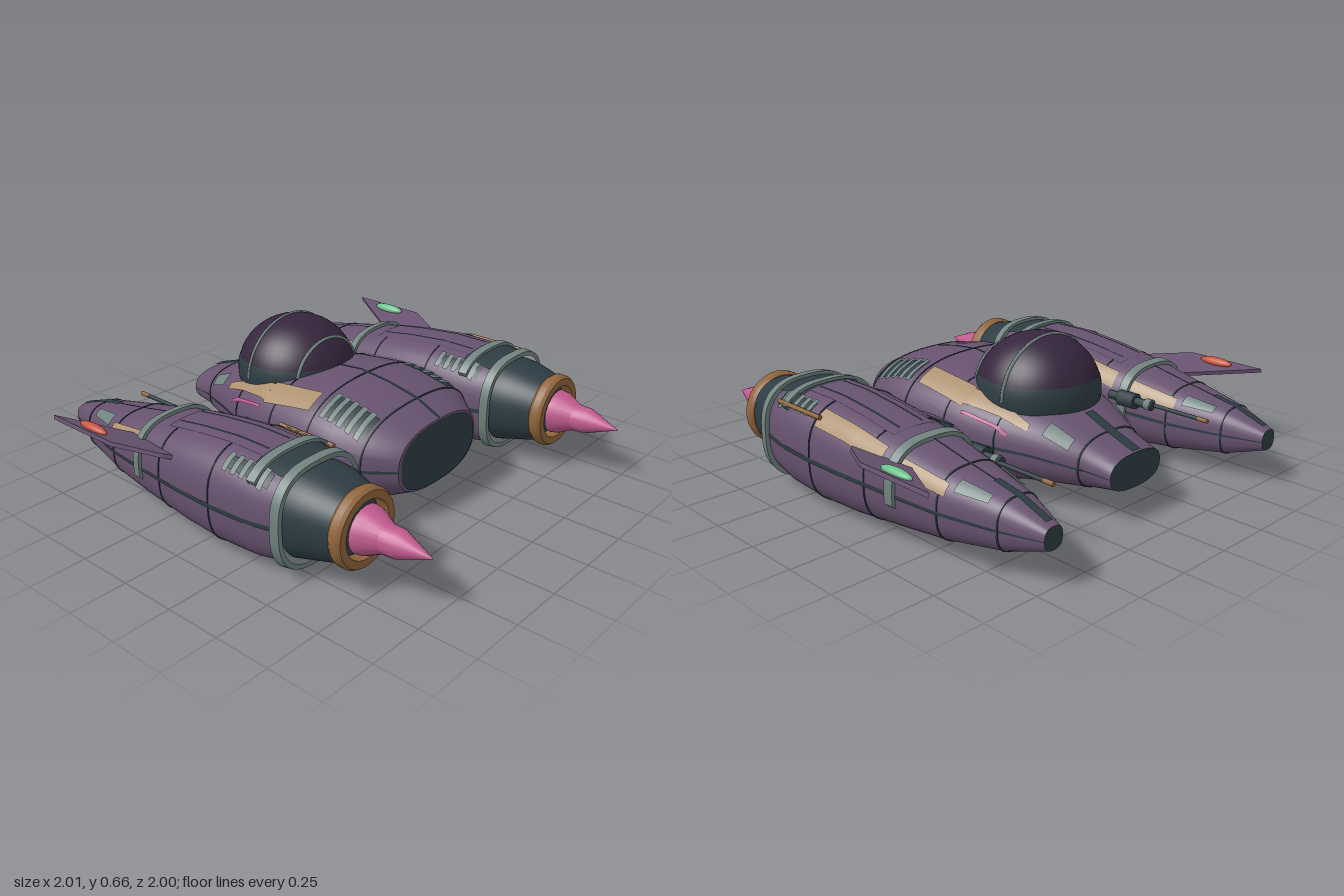
import * as THREE from 'three';
import { toCreasedNormals } from 'three/addons/utils/BufferGeometryUtils.js';

const paint = (name, color) => Object.assign(new THREE.MeshStandardMaterial({ color }), { name });
const M = {
  purple: paint('hull purple', 0x67526f), dark: paint('dark slate', 0x2d3c43),
  tan: paint('tan panel', 0xac906f), grey: paint('grey green', 0x70827f),
  glass: paint('dark glass', 0x35253d), pink: paint('pink flare', 0xc05a8e),
  bronze: paint('bronze', 0x8f653b), red: paint('red lamp', 0xc65440), green: paint('green lamp', 0x6cc08c),
};

function add(parent, name, geo, mat, x = 0, y = 0, z = 0) {
  const m = new THREE.Mesh(geo, mat);
  m.name = name;
  m.position.set(x, y, z);
  parent.add(m);
  return m;
}

// Surface from f(i, j) -> [x, y, z] over rows i and columns j
function grid(rows, cols, f, crease = 0.5) {
  const pos = [], idx = [];
  for (let i = 0; i <= rows; i++) for (let j = 0; j <= cols; j++) {
    pos.push(...f(i, j));
    if (i < rows && j < cols) {
      const a = i * (cols + 1) + j, b = a + cols + 1;
      idx.push(a, b, a + 1, b, b + 1, a + 1);
    }
  }
  const g = new THREE.BufferGeometry();
  g.setAttribute('position', new THREE.Float32BufferAttribute(pos, 3));
  g.setIndex(idx);
  return toCreasedNormals(g, crease);
}

// Body lofted from stations [z, half width, bottom, top] with rounded-box sections
function hull(st, n) {
  const lerp = THREE.MathUtils.lerp;
  const at = z => {
    let k = 0;
    while (k < st.length - 2 && z > st[k + 1][0]) k++;
    const t = (z - st[k][0]) / (st[k + 1][0] - st[k][0]);
    return [1, 2, 3].map(c => lerp(st[k][c], st[k + 1][c], t));
  };
  const pow = v => Math.sign(v) * Math.abs(v) ** (2 / n);
  const point = (z, t, off = 0, r = 1) => {
    const [w, lo, hi] = at(z);
    return [r * (w + off) * pow(Math.sin(t)), (lo + hi) / 2 + r * ((hi - lo) / 2 + off) * pow(Math.cos(t)), z];
  };
  const angle = (z, x) => Math.asin(Math.sign(x) * Math.min(1, Math.abs(x) / at(z)[0]) ** (n / 2));
  const Z0 = st[0][0], Z1 = st[st.length - 1][0], full = 2 * Math.PI;
  return {
    skin: () => grid(st.length - 1, 48, (i, j) => point(st[i][0], j / 48 * full)),
    tail: () => grid(1, 48, (i, j) => point(Z0, j / 48 * full, 0, i)),
    nose: (r = 1, dz = 0) => grid(1, 48, (i, j) => {
      const p = point(Z1, j / 48 * full, 0, (1 - i) * r);
      return [p[0], p[1], Z1 + dz];
    }),
    // thin plate on the upper side, x range given at both ends
    plate: (z0, z1, a, b = a, off = 0.005) => grid(12, 6, (i, j) => {
      const z = lerp(z0, z1, i / 12);
      const t0 = angle(z, lerp(a[0], b[0], i / 12)), t1 = angle(z, lerp(a[1], b[1], i / 12));
      return point(z, lerp(t0, t1, j / 6), off);
    }),
    // band wrapped round the section between two angles
    strap: (z0, z1, t0, t1, off) => grid(3, 48, (i, j) => {
      const end = t1 - t0 < 6.2 && (j === 0 || j === 48);
      return point(i < 2 ? z0 : z1, lerp(t0, t1, j / 48), end || i % 3 === 0 ? 0 : off);
    }),
    // lengthwise seam at an angle
    seam: (t, z0 = Z0, z1 = Z1) => grid(24, 1, (i, j) => point(lerp(z0, z1, i / 24), t + (j - 0.5) * 0.03, 0.003)),
  };
}

const both = (s, a, b) => s > 0 ? [a, b] : [-b, -a];

function vents(parent, h, s, x0, x1, z0, z1) {
  add(parent, 'ventBed', h.plate(z0, z1, both(s, x0 + 0.01, x1 - 0.01), undefined, 0.004), M.dark);
  const step = (z1 - z0) / 5;
  for (let i = 0; i < 5; i++)
    add(parent, 'ventSlat', h.plate(z0 + i * step, z0 + (i + 0.55) * step, both(s, x0, x1), undefined, 0.01), M.grey);
}

const lathe = (pts, seg) => toCreasedNormals(
  new THREE.LatheGeometry(pts.map(p => new THREE.Vector2(...p)), seg).rotateX(Math.PI / 2), 0.5);

function makeBody() {
  const g = new THREE.Group();
  g.name = 'body';
  const h = hull([[-0.82, 0.155, 0.125, 0.275], [-0.69, 0.18, 0.105, 0.32], [-0.67, 0.195, 0.1, 0.33],
    [-0.5, 0.27, 0.08, 0.4], [-0.35, 0.33, 0.055, 0.44], [-0.2, 0.37, 0.04, 0.47], [0.1, 0.4, 0.03, 0.5],
    [0.25, 0.395, 0.03, 0.485], [0.4, 0.365, 0.055, 0.455], [0.52, 0.265, 0.105, 0.4]], 2.5);
  add(g, 'bodyShell', h.skin(), M.purple);
  add(g, 'tailPlate', h.tail(), M.dark);
  add(g, 'noseRim', h.nose(), M.purple);
  add(g, 'nosePlate', h.nose(0.95, 0.004), M.dark);
  add(g, 'spineStrip', h.plate(-0.82, -0.57, [-0.024, 0.024], undefined, 0.008), M.dark);
  for (const z of [-0.68, -0.35, -0.1, 0.13, 0.4])
    add(g, 'crossSeam', h.strap(z - 0.003, z + 0.003, 0, 2 * Math.PI, 0.003), M.dark);
  add(g, 'topSeam', h.plate(-0.05, 0.52, [-0.007, 0.007]), M.dark);
  for (const t of [Math.PI / 2, Math.PI, -Math.PI / 2]) add(g, 'longSeam', h.seam(t), M.dark);
  for (const s of [1, -1]) {
    add(g, 'tanPanel', h.plate(-0.47, -0.17, both(s, 0.235, 0.258), both(s, 0.25, 0.325)), M.tan);
    add(g, 'tanPanel', h.plate(-0.17, 0.1, both(s, 0.24, 0.333)), M.tan);
    add(g, 'pinkStripe', h.plate(-0.4, -0.18, both(s, 0.298, 0.305), both(s, 0.342, 0.35)), M.pink);
    add(g, 'tailWindow', h.plate(-0.64, -0.53, both(s, 0.155, 0.195), both(s, 0.175, 0.23), 0.007), M.grey);
    vents(g, h, s, 0.21, 0.335, 0.16, 0.39);
    // pylon to the pod
    const pylon = new THREE.CylinderGeometry(0.045, 0.045, 0.16, 20).rotateZ(Math.PI / 2).scale(1, 1, 5.4);
    add(g, 'pylon', pylon, M.purple, s * 0.41, 0.28, 0.04);
    add(g, 'pylonTrim', new THREE.BoxGeometry(0.012, 0.1, 0.48), M.dark, s * 0.415, 0.28, 0.04);
    add(g, 'pylonTanPlate', new THREE.BoxGeometry(0.03, 0.008, 0.06), M.tan, s * 0.41, 0.322, 0.2);
  }
  // canopy
  const c = new THREE.Group();
  c.name = 'canopy';
  c.position.set(0, 0.42, -0.285);
  c.scale.y = 0.9;
  add(c, 'canopyGlass', new THREE.SphereGeometry(0.265, 40, 16, 0, 2 * Math.PI, 0, 1.3), M.glass);
  add(c, 'canopyCollar', new THREE.SphereGeometry(0.267, 40, 8, 0, 2 * Math.PI, 1.28, 0.65), M.dark);
  for (const [r, z] of [[0.261, -0.045], [0.194, 0.182]])
    add(c, 'canopyArch', new THREE.TorusGeometry(r, 0.008, 6, 36, Math.PI), M.grey, 0, 0, z);
  g.add(c);
  return g;
}

function makePod(s) {
  const g = new THREE.Group();
  g.name = s > 0 ? 'leftPod' : 'rightPod';
  g.position.x = s * 0.67;
  const h = hull([[-1, 0.046, 0.15, 0.24], [-0.83, 0.105, 0.095, 0.3], [-0.58, 0.165, 0.055, 0.345],
    [-0.36, 0.2, 0.035, 0.39], [-0.1, 0.228, 0.012, 0.43], [0.1, 0.24, 0.005, 0.45],
    [0.3, 0.235, 0.015, 0.45], [0.46, 0.208, 0.04, 0.44]], 2.7);
  add(g, 'podShell', h.skin(), M.purple);
  add(g, 'podTailPlate', h.tail(), M.dark);
  add(g, 'podTailStrip', h.plate(-0.98, -0.72, [-0.015, 0.015], undefined, 0.008), M.dark);
  for (const z of [-0.83, -0.58, -0.22, 0.1])
    add(g, 'crossSeam', h.strap(z - 0.003, z + 0.003, 0, 2 * Math.PI, 0.003), M.dark);
  for (const t of [Math.PI / 2, Math.PI, -Math.PI / 2]) add(g, 'longSeam', h.seam(t), M.dark);
  add(g, 'topSeam', h.plate(-0.72, -0.38, [-0.004, 0.004]), M.dark);
  // raised top panel and straps
  add(g, 'topPanelBed', h.plate(-0.27, 0.28, [-0.1, 0.1], undefined, 0.004), M.purple);
  for (const x of [-0.06, 0.05]) add(g, 'topGroove', h.plate(-0.25, 0.26, [x, x + 0.01], undefined, 0.007), M.dark);
  add(g, 'darkCollar', h.plate(0.27, 0.43, [-0.14, 0.14], undefined, 0.006), M.dark);
  add(g, 'rearStrap', h.strap(-0.385, -0.345, -1.75, 1.75, 0.016), M.grey);
  add(g, 'midStrap', h.strap(0.29, 0.33, -0.95, 0.95, 0.018), M.grey);
  add(g, 'frontRing', h.strap(0.425, 0.465, 0, 2 * Math.PI, 0.02), M.grey);
  // painted panels
  for (const e of [1, -1]) {
    add(g, 'podWindow', h.plate(-0.78, -0.64, both(e, 0.065, 0.095), both(e, 0.085, 0.13), 0.007), M.grey);
    add(g, 'tanRearPanel', h.plate(-0.61, -0.39, both(e, 0.12, 0.15), both(e, 0.145, 0.185)), M.tan);
    vents(g, h, e, 0.135, 0.2, 0.15, 0.38);
  }
  add(g, 'tanSidePanel', h.plate(-0.3, 0.09, [0.145, 0.195], [0.15, 0.212]), M.tan);
  add(g, 'bronzeRod', new THREE.CylinderGeometry(0.01, 0.01, 0.29, 8).rotateX(Math.PI / 2), M.bronze, 0.197, 0.402, 0.215);
  // engine
  const engine = hull([[0.45, 0.2, 0.05, 0.435], [0.52, 0.19, 0.07, 0.43], [0.645, 0.15, 0.1, 0.4]], 2.2);
  add(g, 'engineShell', engine.skin(), M.dark);
  add(g, 'engineFace', engine.nose(), M.dark);
  const ring = [[0.122, 0.64], [0.155, 0.64], [0.165, 0.655], [0.165, 0.685], [0.155, 0.7], [0.122, 0.7], [0.122, 0.64]];
  add(g, 'engineRing', lathe(ring, 32), M.bronze, 0, 0.25, 0).material.side = THREE.DoubleSide;
  const flare = [[0, 0.65], [0.1, 0.69], [0.095, 0.72], [0.06, 0.79], [0.057, 0.85], [0, 0.997]];
  add(g, 'engineFlare', lathe(flare, 20), M.pink, 0, 0.25, 0).material.side = THREE.DoubleSide;
  // outer fin with lamp
  const fin = new THREE.Group();
  fin.name = 'fin';
  fin.position.set(s * 0.2, 0.345, 0);
  fin.rotation.z = s * 0.27;
  const outline = [[-0.08, -0.38], [0.135, -0.74], [0.135, -0.36], [0.03, -0.17], [-0.02, -0.12]];
  const shape = new THREE.Shape(outline.map(([x, z]) => new THREE.Vector2(s * x, z)));
  add(fin, 'finBlade', new THREE.ExtrudeGeometry(shape, { depth: 0.018, bevelEnabled: false }).rotateX(Math.PI / 2), M.purple);
  add(fin, 'finLamp', new THREE.SphereGeometry(1, 20, 12).scale(0.024, 0.02, 0.085), s > 0 ? M.green : M.red, s * 0.098, 0.006, -0.52);
  g.add(fin);
  // inner sensor boom
  const rod = (name, r, z0, z1, x, mat) => add(g, name,
    new THREE.CylinderGeometry(r, r, z1 - z0, 10).rotateX(Math.PI / 2), mat, -s * x, 0.28, (z0 + z1) / 2);
  rod('boomTip', 0.01, -0.82, -0.77, 0.193, M.bronze);
  rod('boomRod', 0.009, -0.78, -0.42, 0.193, M.dark);
  rod('boomSleeve', 0.02, -0.54, -0.3, 0.205, M.dark);
  rod('boomMount', 0.036, -0.45, -0.36, 0.208, M.dark);
  rod('boomCollar', 0.026, -0.53, -0.5, 0.2, M.grey);
  return g;
}

export function createModel() {
  const model = new THREE.Group();
  model.name = 'twinPodShip';
  model.add(makeBody(), makePod(1), makePod(-1));
  return model;
}
